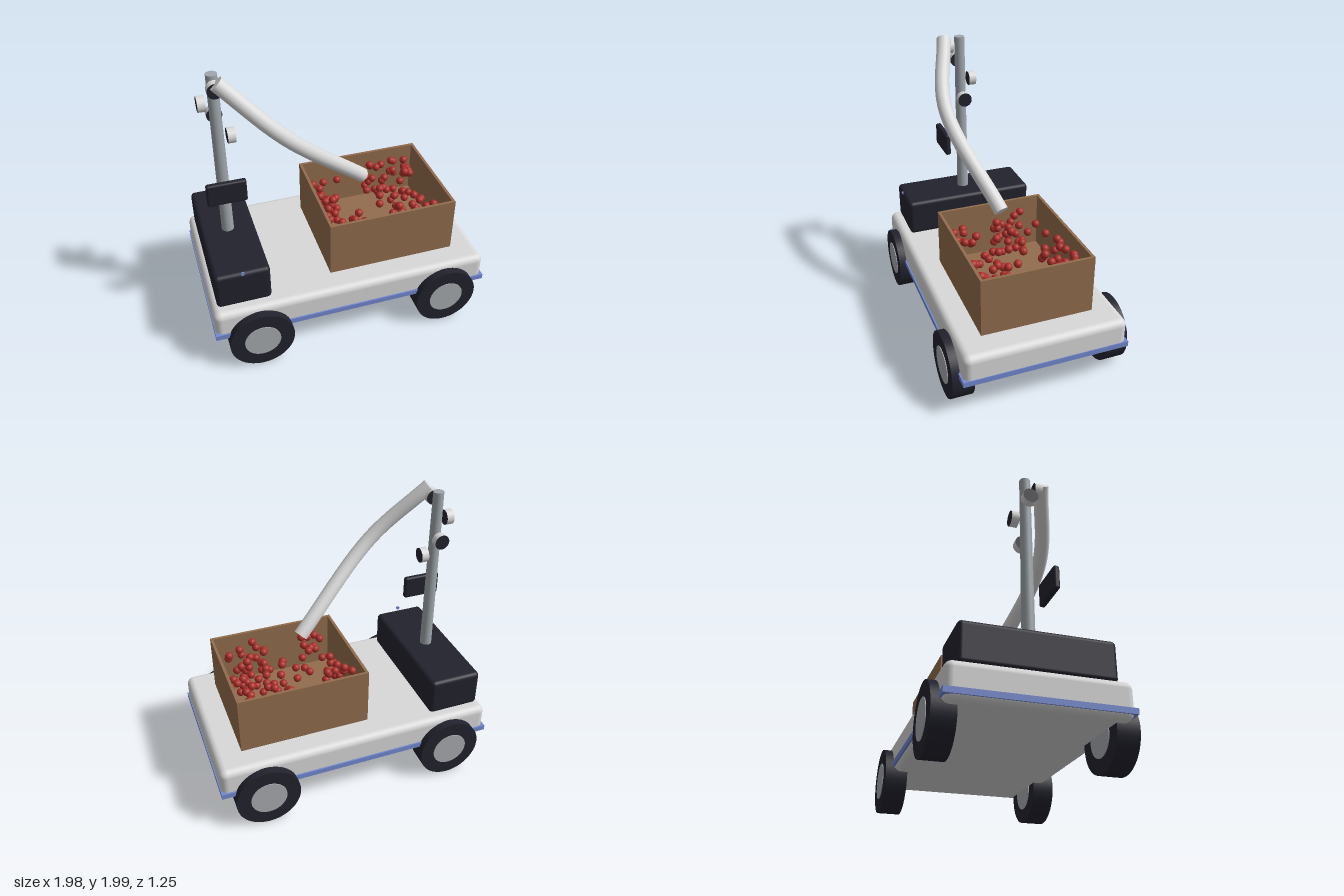
import * as THREE from 'three';
import { RoundedBoxGeometry } from 'three/addons/geometries/RoundedBoxGeometry.js';

const mat = (name, color) => {
  const m = new THREE.MeshStandardMaterial({ color });
  m.name = name;
  return m;
};

export function createModel() {
  const model = new THREE.Group();
  model.name = 'harvestCart';

  const white = mat('white shell', 0xd9d9d9);
  const dark = mat('dark rubber', 0x22222e);
  const blue = mat('blue trim', 0x7389d2);
  const hubGrey = mat('hub grey', 0xa9acb1);
  const steel = mat('mast steel', 0x9fa6ab);
  const wood = mat('brown crate', 0x936d4d);
  const red = mat('red fruit', 0xaa2e29);

  const add = (name, geometry, material, x, y, z, parent = model) => {
    const mesh = new THREE.Mesh(geometry, material);
    mesh.name = name;
    mesh.position.set(x, y, z);
    parent.add(mesh);
    return mesh;
  };
  const box = (w, h, d) => new THREE.BoxGeometry(w, h, d);

  // Chassis with a bumper strip all round
  add('chassis', new RoundedBoxGeometry(1.965, 0.24, 1.13, 4, 0.05), white, 0, 0.37, 0);
  add('bumperStrip', box(1.976, 0.038, 1.15), blue, 0, 0.3, 0);

  // Wheels
  const tyre = new THREE.CylinderGeometry(0.225, 0.225, 0.15, 48).rotateX(Math.PI / 2);
  const hub = new THREE.CylinderGeometry(0.126, 0.126, 0.16, 32).rotateX(Math.PI / 2);
  for (const x of [-0.68, 0.68]) {
    for (const z of [-0.545, 0.545]) {
      const wheel = new THREE.Group();
      wheel.name = 'wheel';
      wheel.position.set(x, 0.23, z);
      add('tyre', tyre, dark, 0, 0, 0, wheel);
      add('hub', hub, hubGrey, 0, 0, 0, wheel);
      model.add(wheel);
    }
  }

  // Battery case, status lamp, mast and control panel
  add('batteryCase', new RoundedBoxGeometry(0.375, 0.27, 0.98, 4, 0.03), dark, -0.757, 0.62, 0);
  add('statusLamp', new THREE.CylinderGeometry(0.013, 0.013, 0.01, 16).rotateX(Math.PI / 2), blue, -0.757, 0.762, 0.497);
  add('mast', new THREE.CylinderGeometry(0.037, 0.043, 1.225, 32), steel, -0.757, 1.353, 0);
  add('controlPanel', new RoundedBoxGeometry(0.267, 0.165, 0.042, 3, 0.015), dark, -0.757, 1.173, 0.148);

  // Four cameras stepping down around the mast, with dark ends
  const cameraBody = new THREE.CylinderGeometry(0.052, 0.052, 0.052, 32).rotateX(Math.PI / 2);
  const cameraSpots = [[0, 1], [-1, 0], [0, -1], [1, 0]];
  cameraSpots.forEach(([dx, dz], i) => {
    const cam = add('camera', cameraBody, [white, dark, dark], -0.757 + dx * 0.084, 1.9 - i * 0.13, dz * 0.084);
    cam.rotation.y = Math.atan2(dx, dz);
  });

  // Curved delivery tube with closed ends
  const path = new THREE.CatmullRomCurve3([
    new THREE.Vector3(-0.75, 1.96, 0.12),
    new THREE.Vector3(-0.37, 1.575, 0.235),
    new THREE.Vector3(0.22, 1.022, 0.037),
  ]);
  add('deliveryTube', new THREE.TubeGeometry(path, 40, 0.051, 24), white, 0, 0, 0);
  for (const t of [0, 1]) {
    const p = path.getPoint(t);
    const dir = path.getTangent(t).multiplyScalar(t ? 1 : -1);
    const cap = add('tubeEnd', new THREE.CircleGeometry(0.051, 24), white, p.x, p.y, p.z);
    cap.lookAt(p.clone().add(dir));
  }

  // Open crate
  const crate = new THREE.Group();
  crate.name = 'crate';
  crate.position.set(0.335, 0.49, 0);
  model.add(crate);
  add('crateFloor', box(0.9, 0.02, 0.76), wood, 0, 0.01, 0, crate);
  for (const s of [-1, 1]) {
    add('crateLongWall', box(0.92, 0.415, 0.02), wood, 0, 0.2075, s * 0.38, crate);
    add('crateEndWall', box(0.02, 0.415, 0.74), wood, s * 0.45, 0.2075, 0, crate);
  }

  // Fruit scattered in the crate: [count, xMin, xMax, zMin, zMax]
  let seed = 7;
  const rand = (a, b) => {
    seed = (seed * 16807) % 2147483647;
    return a + (b - a) * (seed / 2147483647);
  };
  const fruit = new THREE.SphereGeometry(0.029, 16, 12);
  const heaps = [
    [28, -0.07, 0.08, -0.32, 0.03],
    [26, 0.38, 0.72, -0.34, -0.16],
    [32, 0.4, 0.72, 0.08, 0.34],
    [10, -0.07, 0.15, 0.05, 0.33],
    [32, 0.08, 0.72, -0.34, 0.33],
  ];
  for (const [count, x0, x1, z0, z1] of heaps) {
    for (let i = 0; i < count; i++) {
      add('fruit', fruit, red, rand(x0, x1), rand(0.56, 0.84), rand(z0, z1));
    }
  }

  return model;
}
